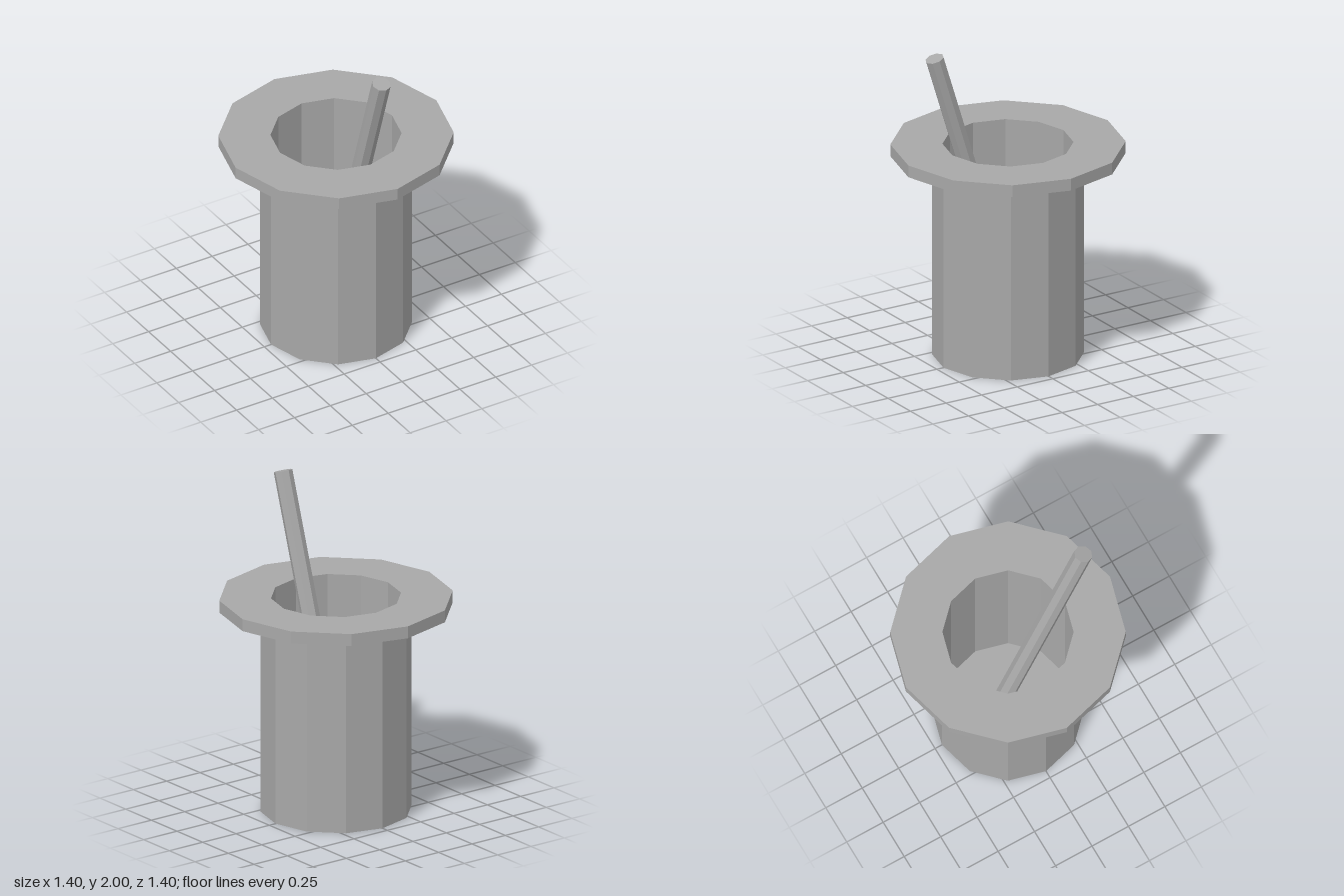
import * as THREE from 'three';

const SIDES = 12;
const OUTER = 0.453, INNER = 0.39, BRIM = 0.7;
const BRIM_BOTTOM = 1.265, BRIM_TOP = 1.34, FLOOR = 0.075;

export function createModel() {
  const model = new THREE.Group();
  model.name = 'cupWithRod';
  const grey = new THREE.MeshStandardMaterial({ color: 0xa8a8a8, flatShading: true });
  grey.name = 'grey';

  const add = (name, geometry) => {
    const mesh = new THREE.Mesh(geometry, grey);
    mesh.name = name;
    model.add(mesh);
    return mesh;
  };
  const turned = (points) =>
    new THREE.LatheGeometry(points.map(([r, y]) => new THREE.Vector2(r, y)), SIDES);

  // Outer shell with closed base
  add('cupShell', turned([[0, 0], [OUTER, 0], [OUTER, BRIM_BOTTOM]]));

  // Wide flat brim, from the shell to the mouth
  add('brim', turned([[OUTER, BRIM_BOTTOM], [BRIM, BRIM_BOTTOM], [BRIM, BRIM_TOP], [INNER, BRIM_TOP]]));

  // Inner wall and floor
  add('cupLining', turned([[INNER, BRIM_TOP], [INNER, FLOOR], [0, FLOOR]]));

  // Octagonal rod leaning towards the front
  const foot = new THREE.Vector3(0, 0.093, -0.083);
  const tip = new THREE.Vector3(0, 1.983, 0.516);
  const axis = tip.clone().sub(foot);
  const rod = add('rod', new THREE.CylinderGeometry(0.057, 0.057, axis.length(), 8));
  rod.position.copy(foot).add(tip).multiplyScalar(0.5);
  rod.rotation.x = Math.atan2(axis.z, axis.y);

  return model;
}
